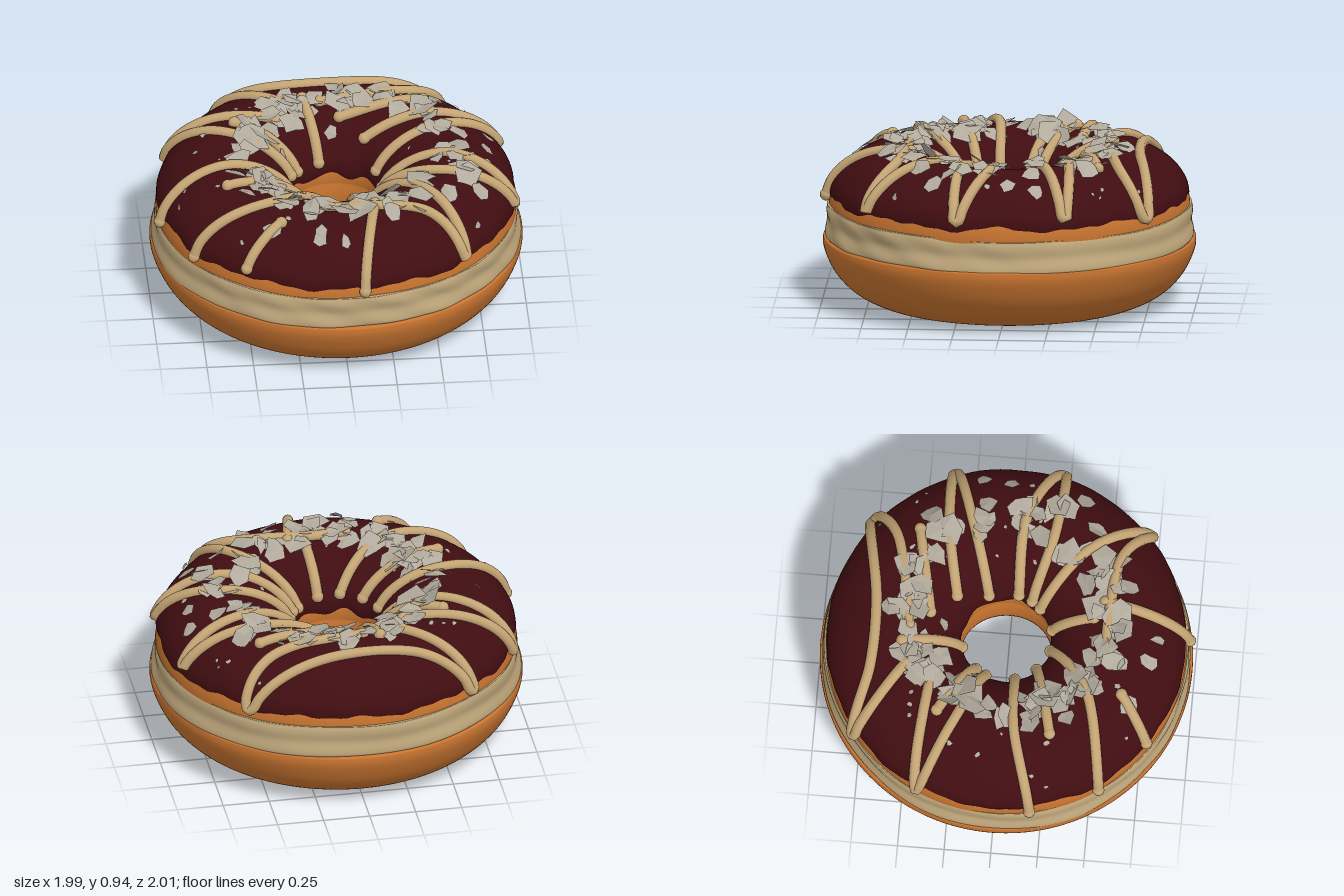
import * as THREE from 'three';
import { mergeGeometries, mergeVertices } from 'three/addons/utils/BufferGeometryUtils.js';

const mat = (name, color, extra = {}) => new THREE.MeshStandardMaterial({ name, color, ...extra });

// Small seeded random generator
let seed = 7;
const rand = () => {
  seed = (seed * 16807) % 2147483647;
  return seed / 2147483647;
};
const spread = (s) => (rand() * 2 - 1) * s;

// Upper half of the ring: elliptical section, phi = 0 outside, PI at the hole
const MID = 0.605, HALF = 0.362, BASE = 0.53, RISE = 0.3;
const section = (phi, off = 0) =>
  new THREE.Vector2(MID + (HALF + off) * Math.cos(phi), BASE + (RISE + off) * Math.sin(phi));

// Put a point given from above (x, z) onto the upper surface
function lift(x, z, off) {
  const phi = Math.acos(THREE.MathUtils.clamp((Math.hypot(x, z) - MID) / HALF, -0.985, 0.985));
  const p = section(phi, off), a = Math.atan2(z, x);
  return new THREE.Vector3(p.x * Math.cos(a), p.y, p.x * Math.sin(a));
}

// Ring from a profile, with an optional rule moving its points
function ring(profile, move) {
  const g = new THREE.LatheGeometry(profile, 160);
  g.deleteAttribute('uv');
  g.deleteAttribute('normal');
  const pos = g.attributes.position;
  const rows = profile.length;
  if (move) {
    for (let i = 0; i < pos.count; i++) {
      const a = Math.floor(i / rows) % 160 / 160 * Math.PI * 2;
      const p = move(a, i % rows, profile[i % rows]);
      pos.setXYZ(i, p.x * Math.sin(a), p.y, p.x * Math.cos(a));
    }
  }
  const m = mergeVertices(g, 1e-5);
  m.computeVertexNormals();
  return m;
}

const spline = (pts) => new THREE.SplineCurve(pts.map(p => new THREE.Vector2(...p)));

// Drizzle strokes as seen from above (x, z)
const STROKES = [
  [[-0.27, -0.52], [-0.6, -0.76], [-0.28, -0.7], [0.1, -0.7], [0.6, -0.76], [0.45, -0.61], [-0.05, -0.52]],
  [[-0.3, -0.38], [-0.87, -0.41], [-0.6, -0.25], [-0.25, -0.1]],
  [[0.18, -0.29], [0.55, -0.35], [0.89, -0.34], [0.55, -0.22], [0.24, -0.12]],
  [[0.26, 0.05], [0.62, 0.06], [0.93, 0.23], [0.55, 0.22], [0.23, 0.13]],
  [[0.19, 0.18], [0.47, 0.42], [0.63, 0.72], [0.4, 0.57], [-0.15, 0.54]],
  [[0.06, 0.26], [0.08, 0.47]],
  [[0.17, 0.52], [0.08, 0.96]],
  [[-0.79, 0.55], [-0.35, 0.46], [-0.07, 0.26]],
  [[-0.95, 0.2], [-0.6, 0.09], [-0.26, 0.07]],
  [[-0.53, 0.78], [-0.34, 0.64]],
  [[-0.19, 0.19], [-0.6, 0.28]],
  [[-0.08, -0.25], [-0.14, -0.55]],
  [[-0.21, -0.16], [-0.52, -0.33]],
  [[0.05, -0.42], [0.5, -0.5]],
];

function drizzleStroke(stroke) {
  const flat = spline(stroke);
  const path = flat.getSpacedPoints(Math.ceil(flat.getLength() * 32)).map(p => lift(p.x, p.y, 0.02));
  const parts = [new THREE.TubeGeometry(new THREE.CatmullRomCurve3(path), path.length * 2, 0.029, 10)];
  // Rounded drops at both ends
  for (const p of [path[0], path[path.length - 1]]) {
    parts.push(new THREE.SphereGeometry(0.033, 12, 8).translate(p.x, p.y, p.z));
  }
  return mergeGeometries(parts);
}

// One thin, bent, ragged flake lying on the icing
function flake(x, z, size, tilt, raise) {
  const g = new THREE.CircleGeometry(size, 5 + Math.floor(rand() * 4));
  const pos = g.attributes.position;
  const bend = spread(2.5), stretch = 0.65 + rand() * 0.5;
  const last = pos.count - 1;
  for (let i = 1; i < last; i++) {
    const k = 0.65 + rand() * 0.55;
    const px = pos.getX(i) * k, py = pos.getY(i) * k * stretch;
    pos.setXYZ(i, px, py, bend * px * px + spread(size * 0.1));
  }
  pos.setXYZ(last, pos.getX(1), pos.getY(1), pos.getZ(1));
  g.rotateZ(rand() * 6.28);
  const at = lift(x, z, 0.02 + raise);
  const foot = new THREE.Vector3(x, 0, z).setLength(MID);
  foot.y = BASE;
  const normal = at.clone().sub(foot).normalize();
  normal.add(new THREE.Vector3(spread(tilt), spread(tilt), spread(tilt))).normalize();
  g.applyQuaternion(new THREE.Quaternion().setFromUnitVectors(new THREE.Vector3(0, 0, 1), normal));
  g.translate(at.x, at.y, at.z);
  const out = g.toNonIndexed();
  out.computeVertexNormals();
  return out;
}

// Flakes per heap, going round the ring from +x towards +z
const HEAPS = [5, 6, 5, 6, 6, 6, 7, 7, 8, 7, 4, 4, 5, 6, 11, 5, 6, 5, 6, 5];
// Single flakes lying apart (x, z)
const SINGLES = [[-0.14, 0.76], [-0.01, 0.8], [-0.39, 0.68], [0.82, -0.19], [0.8, -0.04], [0.73, 0.36],
  [0, -0.35], [-0.28, -0.15]];

function flakePile() {
  const pieces = [];
  HEAPS.forEach((count, h) => {
    const a = h / HEAPS.length * Math.PI * 2;
    const r = 0.56 + 0.06 * Math.cos(a);
    for (let i = 0; i < count; i++) {
      pieces.push(flake(r * Math.cos(a) + spread(0.085), r * Math.sin(a) + spread(0.085),
        0.045 + rand() * 0.05, 0.4, rand() * 0.035));
    }
  });
  for (const [x, z] of SINGLES) pieces.push(flake(x, z, 0.045 + rand() * 0.015, 0.15, 0.005));
  // Crumbs
  for (let i = 0; i < 45; i++) {
    const a = rand() * 6.28, r = 0.4 + rand() * 0.5;
    pieces.push(flake(r * Math.cos(a), r * Math.sin(a), 0.01 + rand() * 0.012, 0.3, 0));
  }
  return mergeGeometries(pieces);
}

export function createModel() {
  const model = new THREE.Group();
  const dough = mat('dough', 0xc87430);
  const cream = mat('cream', 0xbda57a);
  const icing = mat('dark icing', 0x400d11);
  const drizzle = mat('drizzle', 0xc4a474);
  const flakes = mat('flakes', 0xb2ab9d, { side: THREE.DoubleSide, flatShading: true });
  const add = (name, geometry, material) => {
    const mesh = new THREE.Mesh(geometry, material);
    mesh.name = name;
    model.add(mesh);
  };

  // Lower half of the dough
  add('lowerDough', ring(spline([[0.25, 0.5], [0.24, 0.42], [0.25, 0.3], [0.3, 0.16], [0.39, 0.05], [0.5, 0.006],
    [0.6, 0], [0.72, 0.02], [0.84, 0.08], [0.93, 0.17], [0.982, 0.27], [0.997, 0.34], [0.97, 0.37],
    [0.8, 0.38]]).getPoints(70)), dough);

  // Uneven cream layer
  const creamProfile = spline([[0.7, 0.36], [0.94, 0.352], [0.985, 0.36], [0.988, 0.39], [0.973, 0.44],
    [0.976, 0.49], [0.968, 0.525], [0.94, 0.537], [0.7, 0.54]]).getPoints(32);
  add('creamFilling', ring(creamProfile, (a, i, p) => {
    const lump = Math.sin(5 * a + 1) * Math.sin(3 * a + p.y * 14) * 0.006
      + Math.sin(19 * a + p.y * 45) * 0.003 * Math.max(0, Math.cos(a - 0.4));
    return { x: p.x + lump, y: p.y + 0.008 * Math.sin(2 * a + 1) + 0.003 * Math.sin(7 * a) };
  }), cream);

  // Upper half of the dough
  const arc = Array.from({ length: 41 }, (_, i) => section(-0.12 + (Math.PI + 0.4) * i / 40, -0.002));
  add('upperDough', ring(arc), dough);

  // Icing with a wavy hem, thinning out at both edges
  const N = 44;
  add('icing', ring(Array.from({ length: N + 1 }, (_, i) => section(Math.PI * i / N)), (a, i) => {
    const hem = 0.17 + 0.03 * Math.sin(9 * a) + 0.025 * Math.sin(16 * a + 2) + 0.015 * Math.sin(37 * a);
    const inner = Math.PI - 0.02 + 0.06 * Math.sin(7 * a + 1);
    const t = i / N;
    const thick = Math.min(1, Math.sqrt(Math.min(t, 1 - t) * 12));
    return section(hem + (inner - hem) * t, -0.006 + 0.018 * thick + 0.002 * Math.sin(11 * a + t * 9));
  }), icing);

  // Piped drizzle
  STROKES.forEach((s, i) => add('drizzle' + (i + 1), drizzleStroke(s), drizzle));

  // Scattered flakes
  add('flakes', flakePile(), flakes);

  return model;
}
